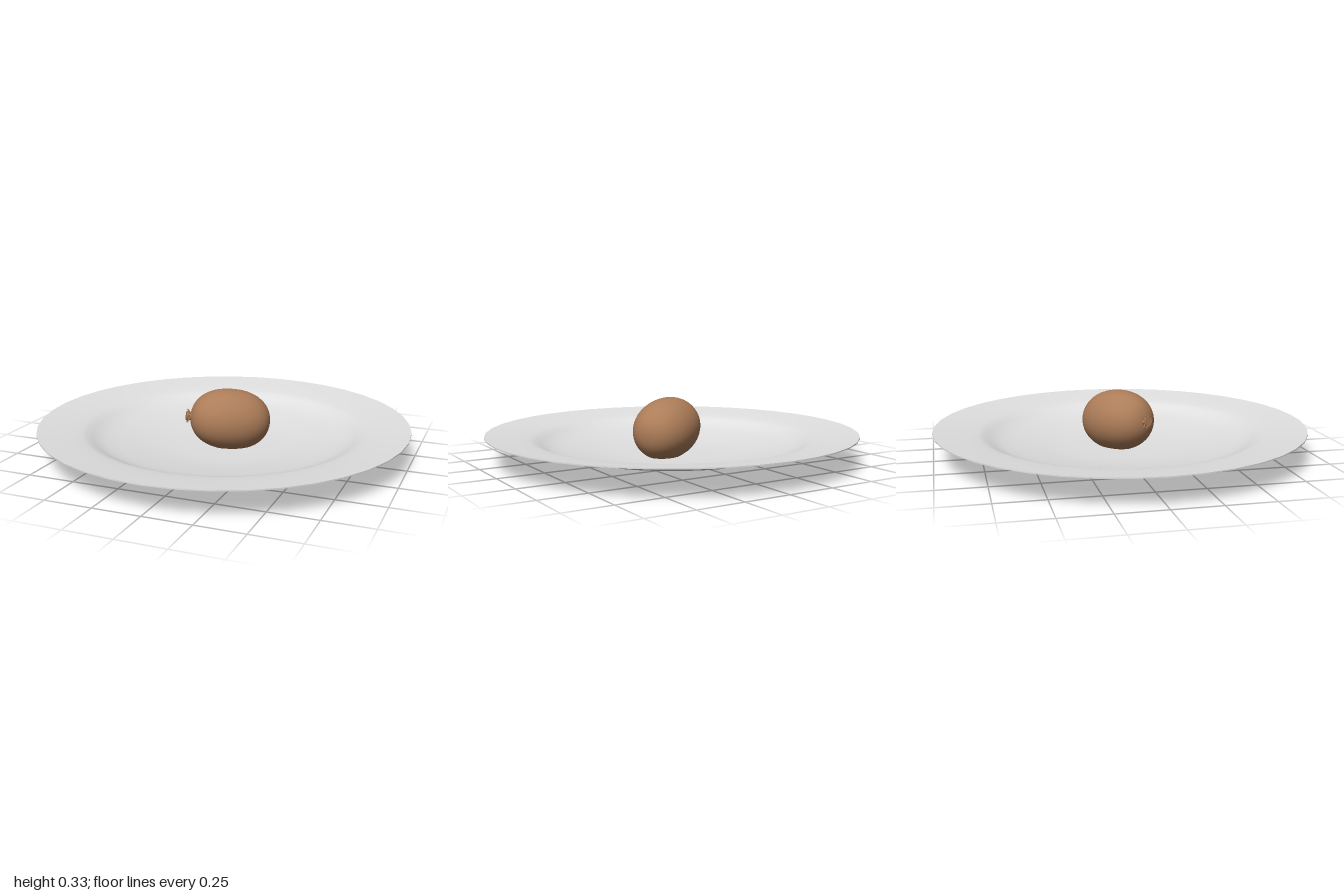
import * as THREE from 'three';

const SEGMENTS = 40;

function lathe(points, segments, material, name) {
  const profile = points.map(([r, y]) => new THREE.Vector2(r, y));
  const mesh = new THREE.Mesh(new THREE.LatheGeometry(profile, segments), material);
  mesh.name = name;
  return mesh;
}

export function createModel() {
  const model = new THREE.Group();
  model.name = 'fruitOnPlate';
  const china = new THREE.MeshStandardMaterial({ name: 'white china', color: 0xe0e0e0 });
  const skin = new THREE.MeshStandardMaterial({ name: 'brown skin', color: 0xad7d59 });

  // Plate: flat foot, curved underside, thin lip and shallow well
  const plate = new THREE.Group();
  plate.name = 'plate';
  plate.add(
    lathe([[0, 0.013], [0.37, 0.013]], SEGMENTS, china, 'plateFoot'),
    lathe([[0.37, 0.013], [0.4, 0.028], [0.46, 0.038], [0.56, 0.051], [0.62, 0.061], [0.66, 0.073],
      [0.7, 0.09], [0.74, 0.106], [0.78, 0.118], [0.85, 0.13], [0.93, 0.14], [1, 0.149]],
    SEGMENTS, china, 'plateUnderside'),
    lathe([[1, 0.149], [1, 0.155]], SEGMENTS, china, 'plateLip'),
    lathe([[1, 0.155], [0.92, 0.146], [0.84, 0.137], [0.77, 0.127], [0.74, 0.119], [0.71, 0.104],
      [0.68, 0.09], [0.64, 0.077], [0.58, 0.065], [0.48, 0.05], [0.4, 0.039], [0.32, 0.031],
      [0.2, 0.026], [0, 0.024]], SEGMENTS, china, 'plateWell')
  );
  model.add(plate);

  // Fruit: blunt oval built upright, then laid along its axis
  const fruit = new THREE.Group();
  fruit.name = 'fruit';
  const rings = 28;
  const profile = [];
  for (let i = 0; i <= rings; i++) {
    const t = (i / rings) * Math.PI;
    const c = Math.cos(t);
    profile.push([
      i % rings === 0 ? 0 : 0.165 * Math.pow(Math.sin(t), 0.9),
      -0.217 * Math.sign(c) * Math.pow(Math.abs(c), 0.92)
    ]);
  }
  fruit.add(lathe(profile, 36, skin, 'fruitBody'));

  // Dried stem with a ring of short splayed sepals
  const stem = new THREE.Mesh(new THREE.CylinderGeometry(0.026, 0.02, 0.035, 10), skin);
  stem.name = 'stem';
  stem.position.y = 0.224;
  fruit.add(stem);
  const up = new THREE.Vector3(0, 1, 0);
  for (let i = 0; i < 9; i++) {
    const a = (i / 9) * Math.PI * 2;
    const sepal = new THREE.Mesh(new THREE.ConeGeometry(0.009, 0.032, 5), skin);
    sepal.name = 'sepal';
    const dir = new THREE.Vector3(Math.cos(a), i % 2 ? 0.25 : 0.6, Math.sin(a)).normalize();
    sepal.quaternion.setFromUnitVectors(up, dir);
    sepal.position.set(Math.cos(a) * 0.027, 0.23, Math.sin(a) * 0.027);
    fruit.add(sepal);
  }

  const axis = new THREE.Vector3(-0.866, 0.12, 0.5).normalize();
  fruit.quaternion.setFromUnitVectors(up, axis);
  fruit.position.set(0.035, 0.17, -0.005);
  model.add(fruit);

  return model;
}
